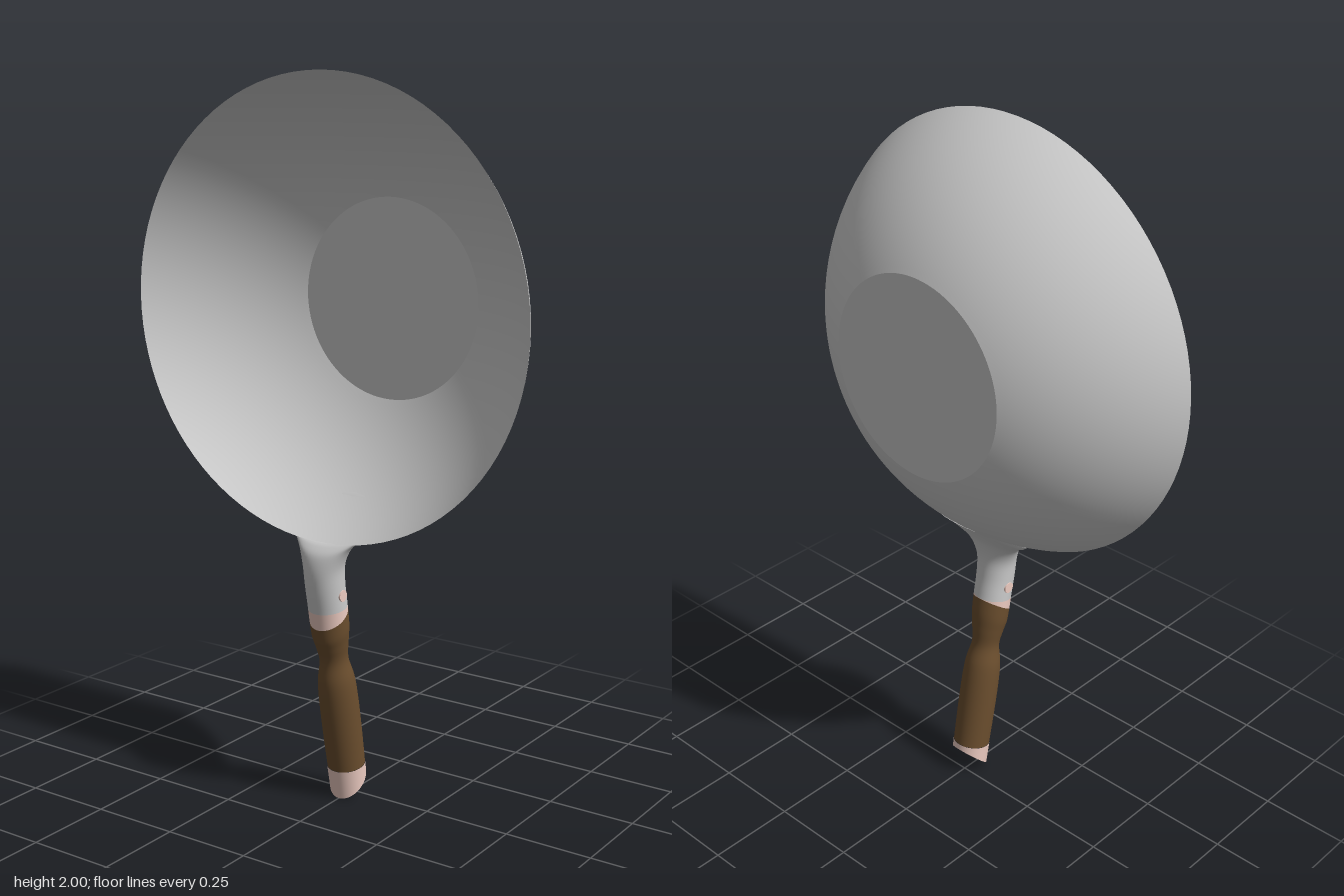
import * as THREE from 'three';

const SIDES = 48;
const steel = new THREE.MeshStandardMaterial({ color: 0xcccccc, side: THREE.DoubleSide });
const wood = new THREE.MeshStandardMaterial({ color: 0x6b4e2e });
const copper = new THREE.MeshStandardMaterial({ color: 0xeccbc1 });

// Bowl: part of a sphere with a flat base, opening towards +z
const BOWL_Y = 1.383, RIM = 0.617, BASE = 0.28, SPHERE_Z = 0.438, SPHERE_R = 0.683;
const bowlZ = r => SPHERE_Z - Math.sqrt(SPHERE_R ** 2 - Math.min(r, RIM) ** 2);

function add(parent, name, geometry, material) {
  const mesh = new THREE.Mesh(geometry, material);
  mesh.name = name;
  parent.add(mesh);
  return mesh;
}

// Skin over closed rings; pointAt(ring, angle) returns [x, y, z], rings go upwards
function loft(rings, pointAt) {
  const pos = [], idx = [];
  for (let i = 0; i < rings; i++) {
    for (let j = 0; j < SIDES; j++) {
      pos.push(...pointAt(i, (j / SIDES) * Math.PI * 2));
      if (i === rings - 1) continue;
      const a = i * SIDES + j, b = i * SIDES + (j + 1) % SIDES;
      idx.push(a, a + SIDES, b, b, a + SIDES, b + SIDES);
    }
  }
  const g = new THREE.BufferGeometry();
  g.setAttribute('position', new THREE.Float32BufferAttribute(pos, 3));
  g.setIndex(idx);
  g.computeVertexNormals();
  return g;
}

// Round grip section from [height, radius, slant] rows; slant tilts the ring front to back
const turned = rows => loft(rows.length, (i, a) => {
  const [t, r, slant] = rows[i], z = r * Math.sin(a);
  return [r * Math.cos(a), t + slant * z, z];
});

function buildBowl() {
  const bowl = new THREE.Group();
  bowl.name = 'bowl';
  bowl.position.y = BOWL_Y;
  const profile = [];
  const a0 = Math.asin(BASE / SPHERE_R), a1 = Math.asin(RIM / SPHERE_R);
  for (let i = 0; i <= 28; i++) {
    const a = a0 + (a1 - a0) * i / 28;
    profile.push(new THREE.Vector2(SPHERE_R * Math.sin(a), SPHERE_Z - SPHERE_R * Math.cos(a)));
  }
  add(bowl, 'bowlWall', new THREE.LatheGeometry(profile, 96).rotateX(Math.PI / 2), steel);
  add(bowl, 'bowlBase', new THREE.CircleGeometry(BASE, 96), steel).position.z = bowlZ(BASE);
  return bowl;
}

// Socket flaring from the round handle onto the outside of the bowl
function buildSocket() {
  // half width, front y, front z, back y, back z
  const keys = [
    [0.054, 0.571, 0.170, 0.590, 0.0635],
    [0.055, 0.640, 0.183, 0.660, 0.076],
    [0.060, 0.695, 0.187, 0.720, 0.079],
    [0.080, 0.735, 0.179, 0.775, 0.064],
    [0.112, 0.758, 0.160, 0.815, 0.038],
    [0.150, 0.768, 0.143, 0.880, -0.02],
  ];
  const front = new THREE.CatmullRomCurve3(keys.map(k => new THREE.Vector3(k[0], k[1], k[2])));
  const back = new THREE.CatmullRomCurve3(keys.map(k => new THREE.Vector3(k[0], k[3], k[4])));
  const n = 26;
  return loft(n, (i, a) => {
    const f = front.getPoint(i / (n - 1)), b = back.getPoint(i / (n - 1));
    const p = b.lerp(f, (1 + Math.sin(a)) / 2);
    const x = p.x * Math.cos(a);
    // the last ring lies on the bowl
    const z = i === n - 1 ? bowlZ(Math.hypot(x, p.y - BOWL_Y)) - 0.002 : p.z;
    return [x, p.y, z];
  });
}

function buildHandle() {
  const handle = new THREE.Group();
  handle.name = 'handle';
  handle.position.z = 0.0125;
  handle.rotation.x = 0.178;
  const CUT = -0.65, TOP = -0.43;

  // End cap: slanted ring with a hollow showing the wood
  add(handle, 'endCap', turned([[0.048, 0.053, CUT], [0.1, 0.054, 0]]), copper);
  add(handle, 'endCapRim', turned([[0.048, 0.026, CUT], [0.048, 0.053, CUT]]), copper);
  add(handle, 'endHollow', turned([[0.06, 0.0005, CUT], [0.06, 0.026, CUT]]), wood);
  add(handle, 'endHollowWall', turned([[0.06, 0.026, CUT], [0.048, 0.026, CUT]]), wood);

  // Grip with a narrow waist and a slanted top
  const shape = new THREE.SplineCurve([
    [0.1, 0.053], [0.2, 0.0545], [0.3, 0.0545], [0.37, 0.051],
    [0.43, 0.040], [0.48, 0.046], [0.52, 0.0525], [0.565, 0.054],
  ].map(p => new THREE.Vector2(...p)));
  const rows = shape.getPoints(40).map(p =>
    [p.x, p.y, TOP * THREE.MathUtils.smoothstep(p.x, 0.43, 0.565)]);
  add(handle, 'grip', turned(rows), wood);

  // Ferrule and cross pin
  add(handle, 'ferrule', turned([[0.565, 0.054, TOP], [0.59, 0.054, 0]]), copper);
  const pin = add(handle, 'pin', new THREE.CylinderGeometry(0.016, 0.016, 0.114, 24), copper);
  pin.rotation.z = Math.PI / 2;
  pin.position.set(0, 0.632, 0);
  return handle;
}

export function createModel() {
  const pan = new THREE.Group();
  pan.name = 'pan';
  pan.add(buildBowl(), buildHandle());
  add(pan, 'socket', buildSocket(), steel);
  return pan;
}
